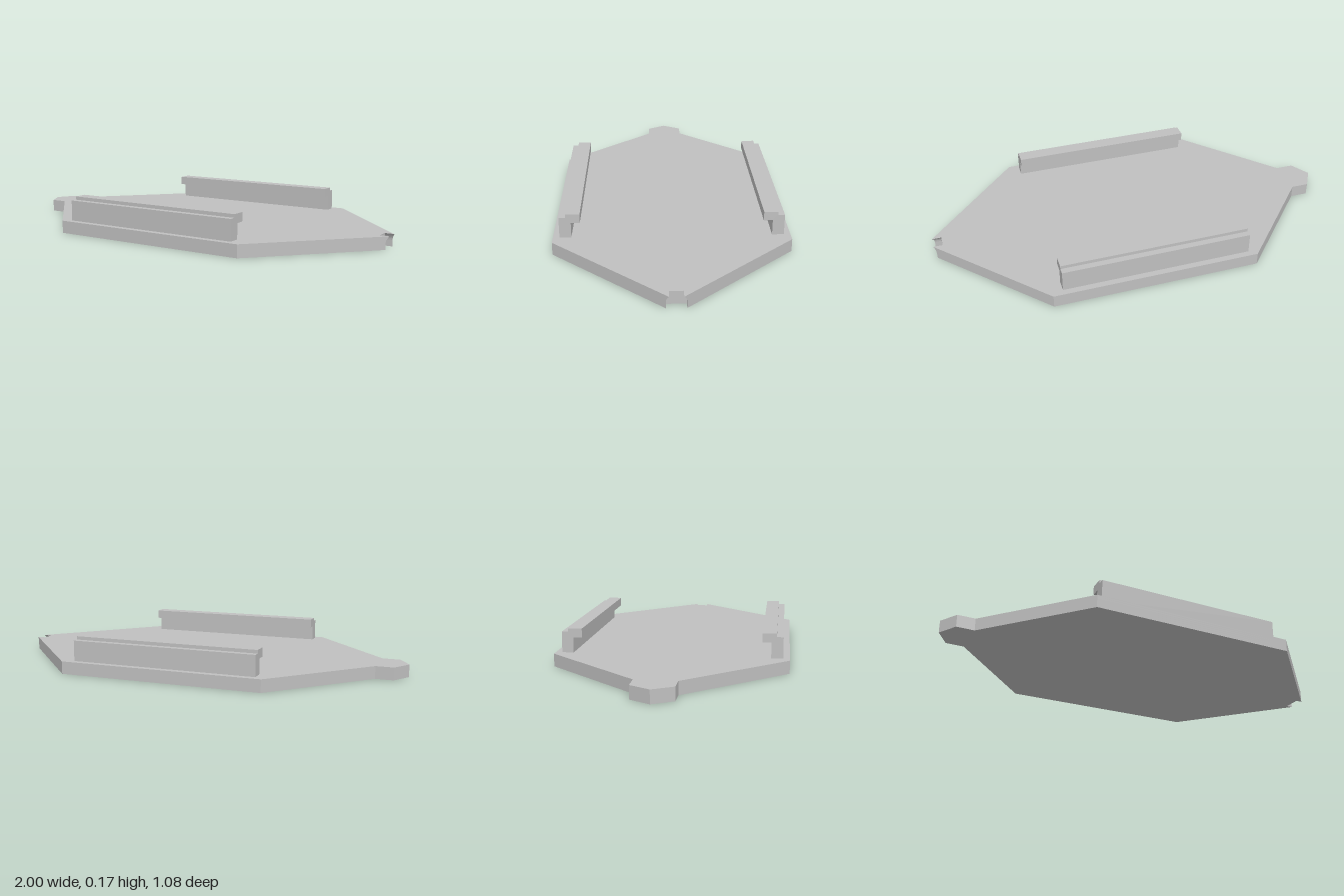
import * as THREE from 'three';

const THICK = 0.06;

function shapeFrom(points) {
  return new THREE.Shape(points.map(([x, y]) => new THREE.Vector2(x, y)));
}

// Half width of the arched notch at height y
function notchHalfWidth(y) {
  const t = Math.max(0, (y - 0.03) / 0.03);
  return 0.03 + 0.013 * (1 - t * t);
}

// Hexagonal plate with a pointed tab at one end and an arched notch at the other
function plateGeometry() {
  const half = [[-1, 0], [-0.945, 0.093], [-0.86, 0.093], [-0.455, 0.54], [0.53, 0.54], [1, 0.03], [0.955, 0.03]];
  const mirrored = half.slice(1).reverse().map(([x, z]) => [x, -z]);
  const outline = [...half, ...mirrored].reverse();
  const geo = new THREE.ExtrudeGeometry(shapeFrom(outline), { depth: THICK, steps: 6, bevelEnabled: false });
  geo.rotateX(-Math.PI / 2);

  // Widen the notch towards the underside, keeping its tips on the slanted edges
  const pos = geo.attributes.position;
  for (let i = 0; i < pos.count; i++) {
    if (pos.getX(i) < 0.9) continue;
    const w = notchHalfWidth(pos.getY(i));
    if (pos.getX(i) > 0.98) pos.setX(i, 1 - (w - 0.03) * 0.47 / 0.51);
    pos.setZ(i, Math.sign(pos.getZ(i)) * w);
  }
  geo.computeVertexNormals();
  return geo;
}

// Rail with a stepped top and a lip that overhangs inwards
function railGeometry() {
  const profile = [
    [-0.51, THICK], [-0.456, THICK], [-0.456, 0.132], [-0.415, 0.132],
    [-0.415, 0.174], [-0.48, 0.174], [-0.48, 0.158], [-0.51, 0.158],
  ];
  const geo = new THREE.ExtrudeGeometry(shapeFrom(profile), { depth: 0.9, bevelEnabled: false });
  geo.translate(0, 0, -0.45);
  geo.rotateY(-Math.PI / 2);
  geo.translate(0.03, 0, 0);
  return geo;
}

export function createModel() {
  const model = new THREE.Group();
  model.name = 'railedPlate';
  const grey = new THREE.MeshStandardMaterial({ color: 0xc0c0c0 });
  grey.name = 'light grey';

  const plate = new THREE.Mesh(plateGeometry(), grey);
  plate.name = 'basePlate';
  model.add(plate);

  // Two facing rails
  const rail = railGeometry();
  for (const [name, angle, x] of [['backRail', 0, 0], ['frontRail', Math.PI, 0.06]]) {
    const mesh = new THREE.Mesh(rail, grey);
    mesh.name = name;
    mesh.rotation.y = angle;
    mesh.position.x = x;
    model.add(mesh);
  }
  return model;
}
